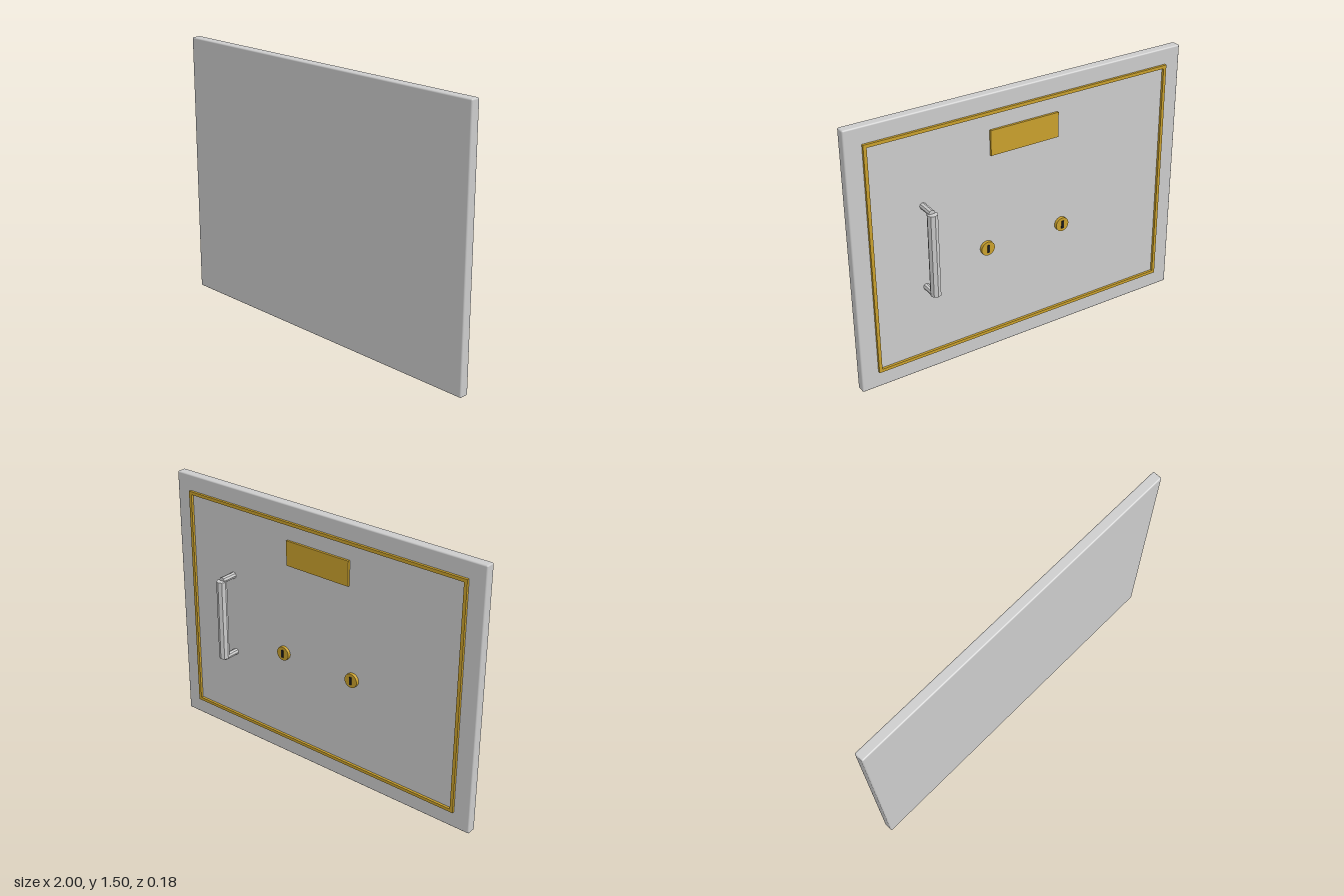
import * as THREE from 'three';
import { RoundedBoxGeometry } from 'three/addons/geometries/RoundedBoxGeometry.js';

export function createModel() {
  const model = new THREE.Group();
  const steel = new THREE.MeshStandardMaterial({ color: 0xcccccc });
  const facetedSteel = new THREE.MeshStandardMaterial({ color: 0xcccccc, flatShading: true });
  const brass = new THREE.MeshStandardMaterial({ color: 0xc9a02c });
  const dark = new THREE.MeshStandardMaterial({ color: 0x222222 });

  const add = (name, geometry, material, x, y, z, parent = model) => {
    const mesh = new THREE.Mesh(geometry, material);
    mesh.name = name;
    mesh.position.set(x, y, z);
    parent.add(mesh);
    return mesh;
  };
  const group = (name) => {
    const g = new THREE.Group();
    g.name = name;
    model.add(g);
    return g;
  };

  // Door slab with softened edges; its fittings are all on the back (-z)
  const backZ = 0.036;
  add('doorPanel', new RoundedBoxGeometry(2, 1.496, 0.054, 2, 0.008), steel, 0, 0.748, 0.063);

  // Thin rectangular trim
  const w = 0.905, h = 0.655, t = 0.018;
  const rect = (target, a, b) => target.moveTo(-a, -b).lineTo(a, -b).lineTo(a, b).lineTo(-a, b).closePath();
  const outline = rect(new THREE.Shape(), w, h);
  outline.holes.push(rect(new THREE.Path(), w - t, h - t));
  add('trimFrame', new THREE.ExtrudeGeometry(outline, { depth: 0.016, bevelEnabled: false }),
    brass, 0, 0.75, 0.022);

  // Blank name plate
  add('namePlate', new THREE.BoxGeometry(0.41, 0.14, 0.014), brass, 0, 1.23, 0.03);

  // Two round locks with upright key slots
  for (const side of [1, -1]) {
    const lock = group(side > 0 ? 'leftLock' : 'rightLock');
    const disc = new THREE.CylinderGeometry(0.04, 0.04, 0.02, 20).rotateX(Math.PI / 2);
    add('lockDisc', disc, brass, side * 0.235, 0.63, 0.028, lock);
    add('keySlot', new THREE.BoxGeometry(0.014, 0.044, 0.01), dark, side * 0.235, 0.63, 0.018, lock);
  }

  // Pull handle: octagonal grip on two standoffs
  const handle = group('handle');
  add('grip', new THREE.CylinderGeometry(0.029, 0.029, 0.468, 8), facetedSteel, 0.6, 0.75, -0.061, handle);
  for (const y of [0.515, 0.987]) {
    const length = backZ + 0.058;
    const post = new THREE.CylinderGeometry(0.018, 0.018, length, 8).rotateX(Math.PI / 2);
    add('handlePost', post, facetedSteel, 0.6, y, backZ - length / 2, handle);
  }
  return model;
}
